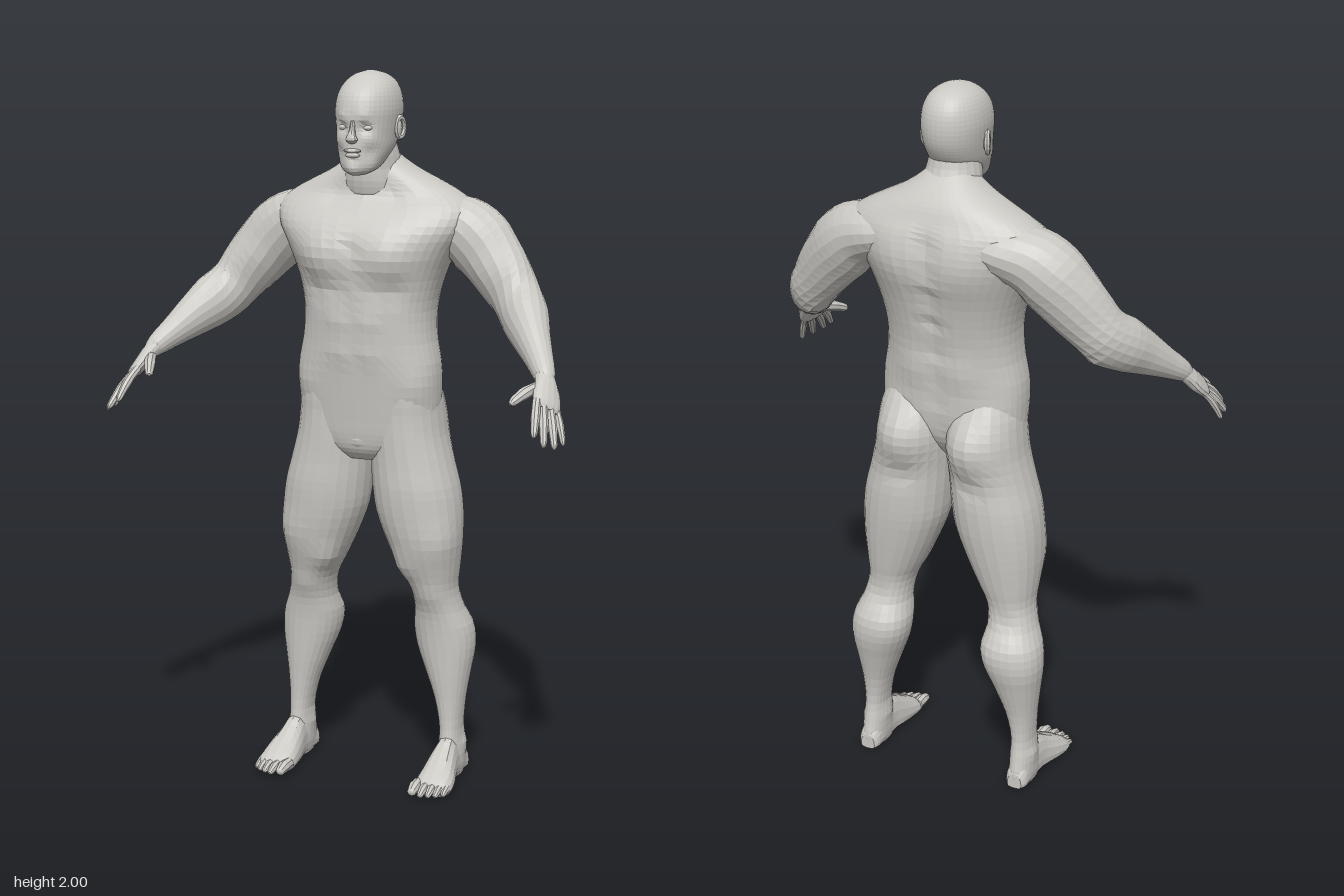
import * as THREE from 'three';

const skin = new THREE.MeshStandardMaterial({ color: 0xcbc9c4 });
skin.name = 'skin grey';
const V = (x, y, z) => new THREE.Vector3(x, y, z);

// Skin a stack of equally sized point rings, smoothed along its length to `rows` rings
function loft(rings, rows) {
  const n = rings[0].length, pos = [], idx = [];
  const columns = rings[0].map((_, j) => new THREE.CatmullRomCurve3(rings.map(r => r[j])));
  for (let i = 0; i <= rows; i++)
    for (const c of columns) pos.push(...c.getPoint(i / rows).toArray());
  for (let i = 0; i < rows; i++)
    for (let j = 0; j < n; j++) {
      const a = i * n + j, b = i * n + (j + 1) % n;
      idx.push(a, b, b + n, a, b + n, a + n);
    }
  for (const end of [0, rows]) {
    const mid = V(0, 0, 0), centre = pos.length / 3;
    for (let j = 0; j < n; j++) mid.add(V().fromArray(pos, (end * n + j) * 3));
    pos.push(...mid.divideScalar(n).toArray());
    for (let j = 0; j < n; j++) {
      const a = end * n + j, b = end * n + (j + 1) % n;
      end ? idx.push(a, b, centre) : idx.push(b, a, centre);
    }
  }
  // Turn the faces outwards if the enclosed volume comes out negative
  let volume = 0;
  const p = k => V().fromArray(pos, idx[k] * 3);
  for (let k = 0; k < idx.length; k += 3) volume += p(k).dot(p(k + 1).cross(p(k + 2)));
  const geo = new THREE.BufferGeometry();
  geo.setAttribute('position', new THREE.Float32BufferAttribute(pos, 3));
  geo.setIndex(volume < 0 ? idx.reverse() : idx);
  return geo;
}

const pow = (v, p) => Math.sign(v) * Math.abs(v) ** p;

// Upright form from rows of [y, xMin, xMax, zFront, zBack]
function upright(profile, rows, n = 28, p = 0.85) {
  return loft(profile.map(([y, x0, x1, zf, zb]) => Array.from({ length: n }, (_, j) => {
    const t = (j / n) * Math.PI * 2;
    return V((x0 + x1) / 2 + (x1 - x0) / 2 * pow(Math.cos(t), p), y,
      (zf + zb) / 2 + (zf - zb) / 2 * pow(Math.sin(t), p));
  })), rows);
}
const symmetric = rows => rows.map(([y, w, f, b]) => [y, -w, w, f, b]);

// Limb along a path of [x, y, z, radius along ref, radius across ref]
function limb(path, ref, rows, n = 12) {
  const at = i => V(...path[Math.max(0, Math.min(path.length - 1, i))].slice(0, 3));
  return loft(path.map(([, , , a, b], i) => {
    const tan = at(i + 1).sub(at(i - 1)).normalize();
    const u = ref.clone().addScaledVector(tan, -ref.dot(tan)).normalize();
    const w = tan.clone().cross(u);
    return Array.from({ length: n }, (_, j) => {
      const t = (j / n) * Math.PI * 2;
      return at(i).addScaledVector(u, a * Math.cos(t)).addScaledVector(w, b * Math.sin(t));
    });
  }), rows);
}

// Rounded digit running from one point to another
function digit(from, to, r, ref, bend) {
  const path = [[0, 1], [0.3, 0.95], [0.5, 1.02], [0.75, 0.85], [0.93, 0.7], [1, 0.25]].map(([t, s]) => {
    const q = from.clone().lerp(to, t);
    q.y += bend * Math.sin(t * Math.PI);
    return [q.x, q.y, q.z, r * s, r * s];
  });
  return limb(path, ref, 9, 8);
}

// Push the surface in or out around points [x, y, z, radius, amount]
function sculpt(geo, spots) {
  geo.computeVertexNormals();
  const pos = geo.attributes.position, nor = geo.attributes.normal, q = V(), m = V();
  for (let i = 0; i < pos.count; i++) {
    q.fromBufferAttribute(pos, i);
    let d = 0;
    for (const [x, y, z, r, amount] of spots)
      d += amount * Math.exp(-q.distanceToSquared(m.set(x, y, z)) / (r * r));
    q.addScaledVector(m.fromBufferAttribute(nor, i), d);
    pos.setXYZ(i, q.x, q.y, q.z);
  }
  return geo;
}
const both = spots => spots.flatMap(s => [s, [-s[0], ...s.slice(1)]]);

function ball(x, y, z, rx, ry, rz) {
  return new THREE.SphereGeometry(1, 12, 8).scale(rx, ry, rz).translate(x, y, z);
}

export function createModel() {
  const model = new THREE.Group();
  model.name = 'figure';
  const add = (name, geo) => {
    const flat = geo.toNonIndexed();
    flat.computeVertexNormals();
    const mesh = new THREE.Mesh(flat, skin);
    mesh.name = name;
    model.add(mesh);
  };
  const pair = (name, geo) => {
    add('left ' + name, geo);
    const other = geo.clone().scale(-1, 1, 1);
    other.setIndex(Array.from(geo.index.array).reverse());
    add('right ' + name, other);
  };

  // Torso with chest, stomach, spine furrow and shoulder blades
  const torso = upright(symmetric([
    [0.93, 0.05, -0.02, -0.09], [0.96, 0.12, 0.002, -0.13], [1.0, 0.178, 0.012, -0.17], [1.05, 0.2, 0.018, -0.2],
    [1.12, 0.206, 0.026, -0.214], [1.2, 0.205, 0.035, -0.214], [1.28, 0.19, 0.04, -0.222],
    [1.36, 0.188, 0.044, -0.238], [1.44, 0.206, 0.047, -0.254], [1.52, 0.24, 0.05, -0.267],
    [1.58, 0.275, 0.03, -0.268], [1.63, 0.285, -0.01, -0.262], [1.665, 0.25, -0.04, -0.25],
    [1.7, 0.185, -0.05, -0.237], [1.73, 0.125, -0.055, -0.218], [1.765, 0.075, -0.065, -0.187],
    [1.79, 0.05, -0.08, -0.16]]), 44, 44);
  add('torso', sculpt(torso, [
    ...both([[0.1, 1.5, 0.05, 0.07, 0.017], [0.09, 1.56, -0.27, 0.09, 0.016], [0.06, 1.415, 0.05, 0.03, -0.007],
      [0.045, 1.32, 0.04, 0.035, 0.006], [0.045, 1.24, 0.04, 0.035, 0.006], [0.06, 1.24, -0.2, 0.06, 0.01],
      [0.12, 1.41, 0.04, 0.035, -0.01], [0.17, 1.14, 0, 0.05, 0.008], [0.08, 1.67, -0.03, 0.04, -0.008]]),
    ...[1.08, 1.15, 1.22, 1.3, 1.38, 1.46, 1.54, 1.6].map(y => [0, y, -0.25, 0.035, -0.014]),
    [0, 1.52, 0.055, 0.025, -0.007]]));
  add('groin', ball(0, 0.99, -0.014, 0.06, 0.032, 0.026));

  // Neck
  add('neck', upright(symmetric([
    [1.6, 0.08, -0.07, -0.2], [1.66, 0.09, -0.042, -0.21], [1.7, 0.09, -0.032, -0.21], [1.74, 0.081, -0.03, -0.198],
    [1.78, 0.073, -0.025, -0.178], [1.83, 0.06, -0.04, -0.165]]), 12, 20, 1));

  // Head with brow, eye sockets, cheeks and jaw
  const head = upright(symmetric([
    [1.725, 0.022, 0.022, -0.02], [1.738, 0.046, 0.036, -0.06], [1.77, 0.064, 0.041, -0.12],
    [1.8, 0.074, 0.04, -0.162], [1.83, 0.079, 0.038, -0.184], [1.86, 0.083, 0.039, -0.196],
    [1.9, 0.086, 0.038, -0.2], [1.94, 0.08, 0.024, -0.193], [1.97, 0.065, -0.005, -0.174],
    [1.99, 0.04, -0.038, -0.142], [2.0, 0.008, -0.078, -0.098]]), 32, 40, 0.92);
  add('head', sculpt(head, [
    ...both([[0.034, 1.852, 0.035, 0.017, -0.011], [0.032, 1.876, 0.038, 0.018, 0.005],
      [0.05, 1.82, 0.02, 0.025, 0.004], [0.045, 1.785, 0.025, 0.022, -0.006]]),
    [0, 1.742, 0.035, 0.02, 0.006], [0, 1.765, 0.042, 0.014, -0.005]]));
  add('nose', limb([[0, 1.87, 0.034, 0.006, 0.008], [0, 1.85, 0.04, 0.008, 0.008], [0, 1.832, 0.045, 0.012, 0.011],
    [0, 1.821, 0.046, 0.018, 0.012], [0, 1.813, 0.041, 0.011, 0.006]], V(1, 0, 0), 8, 10));
  add('upper lip', ball(0, 1.791, 0.04, 0.026, 0.006, 0.008));
  add('lower lip', ball(0, 1.779, 0.039, 0.022, 0.007, 0.008));
  pair('eye', ball(0.034, 1.852, 0.016, 0.015, 0.009, 0.012));
  pair('ear', new THREE.TorusGeometry(0.022, 0.007, 6, 14).scale(0.75, 1.2, 1)
    .rotateY(Math.PI / 2 - 0.35).translate(0.088, 1.848, -0.085));
  pair('ear bowl', ball(0.085, 1.846, -0.083, 0.008, 0.023, 0.015));

  // Arm from deep in the shoulder to the wrist
  const arm = limb([
    [0.1, 1.615, -0.16, 0.045, 0.09], [0.17, 1.6, -0.16, 0.07, 0.101], [0.25, 1.575, -0.152, 0.088, 0.096],
    [0.3, 1.535, -0.147, 0.094, 0.088], [0.345, 1.49, -0.138, 0.091, 0.077], [0.39, 1.435, -0.121, 0.083, 0.07],
    [0.43, 1.385, -0.1, 0.074, 0.067], [0.465, 1.345, -0.055, 0.072, 0.064], [0.5, 1.31, 0, 0.061, 0.052],
    [0.54, 1.268, 0.057, 0.043, 0.039], [0.574, 1.23, 0.108, 0.029, 0.028],
    [0.59, 1.205, 0.132, 0.014, 0.012]], V(0, 1, 0), 30, 18);
  pair('arm', sculpt(arm, [[0.34, 1.6, -0.13, 0.06, 0.006], [0.33, 1.47, -0.06, 0.05, 0.008],
    [0.38, 1.54, -0.15, 0.03, -0.006], [0.42, 1.32, -0.13, 0.035, 0.01], [0.48, 1.4, -0.03, 0.05, 0.006]]));

  // Hand: palm, four spread fingers and thumb
  const across = V(0.64, -0.45, -0.63);
  pair('palm', limb([[0.552, 1.256, 0.076, 0.02, 0.018], [0.58, 1.219, 0.12, 0.031, 0.023],
    [0.593, 1.19, 0.15, 0.042, 0.021], [0.604, 1.165, 0.182, 0.042, 0.016],
    [0.608, 1.157, 0.192, 0.035, 0.009]], across, 9, 14));
  const tips = [[0.602, 1.102, 0.278], [0.63, 1.08, 0.282], [0.65, 1.07, 0.252], [0.657, 1.07, 0.2]];
  tips.forEach((tip, i) => {
    const knuckle = V(0.602, 1.168, 0.177).addScaledVector(across, (i - 1.5) * 0.021);
    pair('finger ' + (i + 1), digit(knuckle, V(...tip), i === 3 ? 0.0105 : 0.0125, across, 0.008));
  });
  pair('thumb', digit(V(0.57, 1.208, 0.14), V(0.524, 1.176, 0.238), 0.0165, across, 0.006));

  // Leg from the waist to the heel, with buttock, thigh, knee and calf
  const leg = upright([
    [1.18, 0.05, 0.175, 0, -0.185], [1.12, 0.012, 0.2, 0.012, -0.216], [1.06, 0.003, 0.209, 0.01, -0.234],
    [1.0, 0.002, 0.217, 0.01, -0.238], [0.92, 0.005, 0.237, 0.01, -0.233], [0.85, 0.01, 0.256, 0.012, -0.234],
    [0.78, 0.02, 0.265, 0.008, -0.23], [0.7, 0.05, 0.265, -0.002, -0.22], [0.62, 0.088, 0.258, -0.022, -0.207],
    [0.56, 0.118, 0.252, -0.042, -0.198], [0.5, 0.127, 0.264, -0.06, -0.208], [0.44, 0.118, 0.288, -0.07, -0.236],
    [0.38, 0.126, 0.293, -0.075, -0.238], [0.3, 0.157, 0.282, -0.08, -0.217], [0.22, 0.187, 0.271, -0.085, -0.197],
    [0.14, 0.203, 0.266, -0.085, -0.19], [0.08, 0.202, 0.27, -0.075, -0.2],
    [0.03, 0.202, 0.272, -0.06, -0.208], [0, 0.208, 0.266, -0.07, -0.195]], 48, 24, 0.92);
  pair('leg', sculpt(leg, [[0.1, 1.035, -0.24, 0.07, 0.026], [0.1, 0.925, -0.23, 0.03, -0.008],
    [0.115, 0.63, -0.04, 0.04, 0.01], [0.23, 0.7, -0.03, 0.06, 0.008], [0.19, 0.54, -0.05, 0.035, 0.005],
    [0.15, 0.42, -0.22, 0.05, 0.006], [0.2, 0.52, -0.2, 0.03, -0.006],
    [0.205, 0.1, -0.14, 0.025, 0.006], [0.268, 0.09, -0.15, 0.025, 0.007]]));

  // Foot: flat-soled sections from heel to ball
  const foot = [[-0.207, 0.215, 0.258, 0.045], [-0.195, 0.206, 0.268, 0.065], [-0.15, 0.203, 0.27, 0.09],
    [-0.09, 0.202, 0.273, 0.122], [-0.05, 0.195, 0.282, 0.1], [0, 0.189, 0.295, 0.07],
    [0.04, 0.188, 0.298, 0.047], [0.065, 0.195, 0.29, 0.028]];
  pair('foot', loft(foot.map(([z, x0, x1, h]) => Array.from({ length: 16 }, (_, j) => {
    const t = (j / 16) * Math.PI * 2, s = Math.sin(t);
    return V((x0 + x1) / 2 + (x1 - x0) / 2 * pow(Math.cos(t), 0.8), h * 0.3 + (s > 0 ? 0.7 * h * s : 0.3 * h * pow(s, 0.5)), z);
  })), 18));
  const toes = [[0.203, 0.104, 0.017], [0.23, 0.108, 0.0125], [0.251, 0.102, 0.012], [0.27, 0.092, 0.0115], [0.287, 0.076, 0.011]];
  toes.forEach(([x, z, r], i) =>
    pair('toe ' + (i + 1), digit(V(x - 0.002, 0.022, z - 0.065), V(x, r * 0.85, z), r, V(1, 0, 0), 0.004)));

  return model;
}
